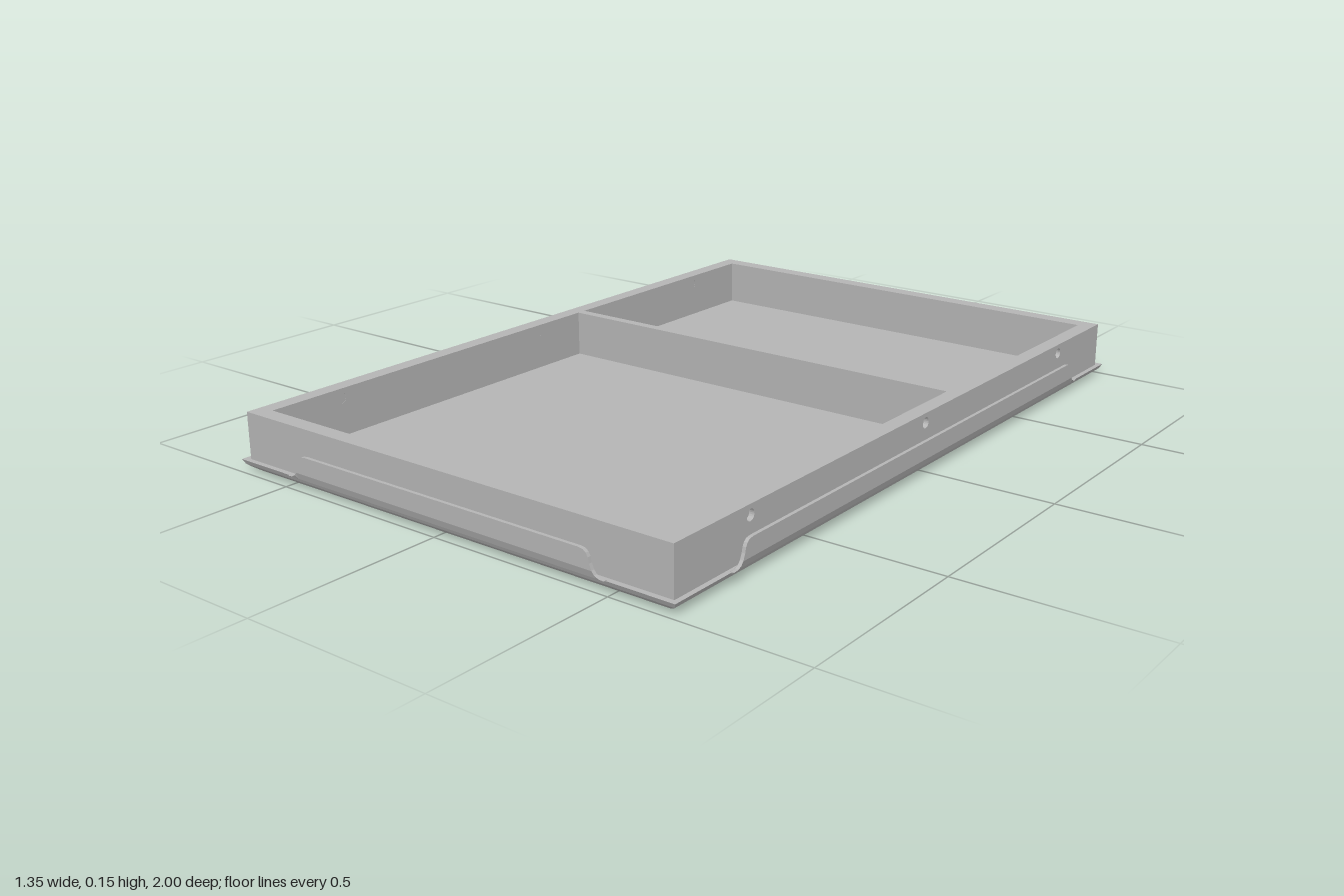
import * as THREE from 'three';

const W = 0.654, L = 0.978;        // half width and half length of the box
const IW = 0.612, IL = 0.935;      // half size of the inside
const FLOOR = 0.025, TOP = 0.15;

// Skin a list of closed rings and cap both ends, faceted
function loft(rings) {
  const pos = [];
  const tri = (...pts) => pts.forEach((p) => pos.push(...p));
  const n = rings[0].length;
  for (let r = 0; r < rings.length - 1; r++) {
    const a = rings[r], b = rings[r + 1];
    for (let i = 0; i < n; i++) {
      const j = (i + 1) % n;
      tri(a[i], a[j], b[j]);
      tri(a[i], b[j], b[i]);
    }
  }
  const first = rings[0], last = rings[rings.length - 1];
  for (let i = 1; i < n - 1; i++) {
    tri(first[0], first[i + 1], first[i]);
    tri(last[0], last[i], last[i + 1]);
  }
  const g = new THREE.BufferGeometry();
  g.setAttribute('position', new THREE.Float32BufferAttribute(pos, 3));
  g.computeVertexNormals();
  return g;
}

// Upright tab facing +z, with S-curved ends; reach is its outer face
function tabGeometry(halfLength, reach) {
  // [distance past the nominal end, height]
  const end = [[0.035, 0.031], [0.02, 0.032], [0.01, 0.037], [0.003, 0.046], [-0.003, 0.06],
    [-0.006, 0.073], [-0.011, 0.082], [-0.019, 0.088], [-0.032, 0.09]];
  const columns = [
    ...end.map(([d, h]) => [-halfLength - d, h]),
    ...end.slice().reverse().map(([d, h]) => [halfLength + d, h]),
  ];
  return loft(columns.map(([x, h]) => {
    const bend = Math.min(0.045, h);
    return [
      [x, 0.028, reach - 0.015], [x, bend, reach - 0.009], [x, h, reach - 0.009],
      [x, h, reach], [x, bend, reach], [x, 0.028, reach - 0.006],
    ];
  }));
}

// Long wall with three round holes, facing +x
function sideWallGeometry(holes) {
  const y0 = 0.02;
  const s = new THREE.Shape();
  s.moveTo(-L, y0);
  s.lineTo(L, y0);
  s.lineTo(L, TOP);
  s.lineTo(-L, TOP);
  s.closePath();
  for (const z of holes) {
    const h = new THREE.Path();
    h.absarc(-z, 0.125, 0.014, 0, Math.PI * 2, true);
    s.holes.push(h);
  }
  const g = new THREE.ExtrudeGeometry(s, { depth: W - IW, bevelEnabled: false, curveSegments: 10 });
  g.rotateY(Math.PI / 2);
  return g.translate(IW, 0, 0);
}

export function createModel() {
  const model = new THREE.Group();
  const grey = new THREE.MeshStandardMaterial({ color: 0xb4b4b4 });
  grey.name = 'plain grey';
  const add = (name, geometry, parent = model) => {
    const m = new THREE.Mesh(geometry, grey);
    m.name = name;
    parent.add(m);
    return m;
  };
  const box = (name, w, h, d, x, y, z) =>
    add(name, new THREE.BoxGeometry(w, h, d)).position.set(x, y, z);

  // Base pan with bevelled underside
  const rect = (x, y, z) => [[-x, y, z], [x, y, z], [x, y, -z], [-x, y, -z]];
  add('basePan', loft([
    rect(0.636, 0, 0.965), rect(0.652, 0.01, 0.979),
    rect(0.663, 0.018, 0.988), rect(0.669, 0.03, 0.994),
    rect(0.656, 0.03, 0.98), rect(0.65, FLOOR, 0.974),
  ]));

  // End walls and divider
  for (const s of [1, -1]) {
    box(s > 0 ? 'frontWall' : 'backWall', IW * 2, TOP - 0.02, L - IL,
      0, (TOP + 0.02) / 2, s * (L + IL) / 2);
  }
  box('divider', IW * 2, TOP - 0.02, 0.026, 0, (TOP + 0.02) / 2, -0.189);

  // Side walls with recessed screws
  for (const s of [1, -1]) {
    const side = new THREE.Group();
    side.name = s > 0 ? 'leftSide' : 'rightSide';
    const holes = [-0.722, 0, 0.722];
    add('sideWall', sideWallGeometry(holes), side);
    for (const z of holes) {
      const screw = add('screw', new THREE.CylinderGeometry(0.0145, 0.0145, 0.028, 16), side);
      screw.rotation.z = -Math.PI / 2;
      screw.position.set(IW + 0.0145, 0.125, z);
    }
    if (s < 0) side.rotation.y = Math.PI;
    model.add(side);
  }

  // Tabs rising from the pan on all four sides
  const tabs = [
    ['frontTab', 0.455, 1, 0], ['leftTab', 0.772, 0.675, 1],
    ['backTab', 0.455, 1, 2], ['rightTab', 0.772, 0.675, 3],
  ];
  for (const [name, half, reach, turn] of tabs) {
    add(name, tabGeometry(half, reach)).rotation.y = turn * Math.PI / 2;
  }
  return model;
}
